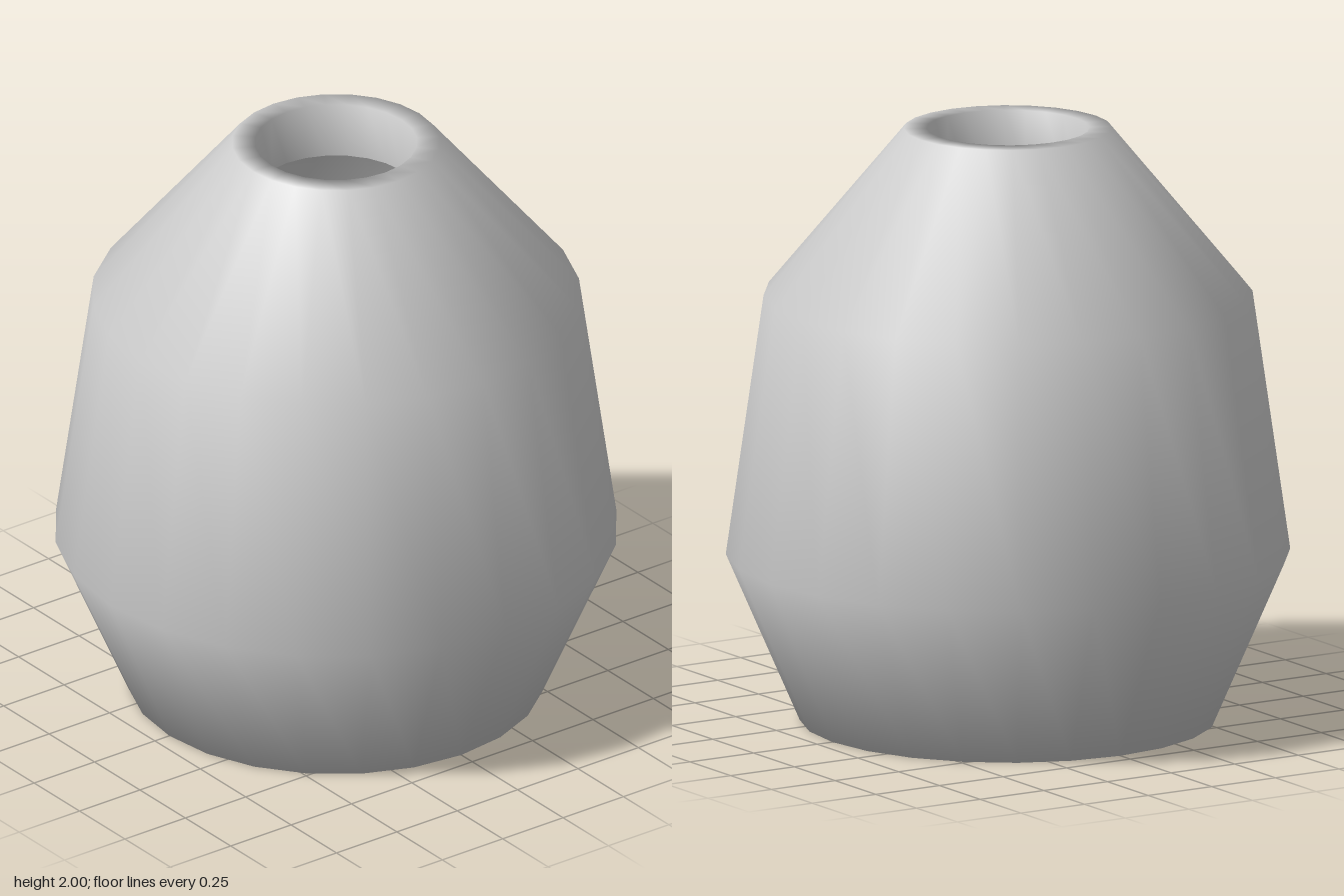
import * as THREE from 'three';

export function createModel() {
  const group = new THREE.Group();
  group.name = 'vase';

  // The neck is open to the hollow body, so both sides show
  const clay = new THREE.MeshStandardMaterial({ color: 0xcccccc, side: THREE.DoubleSide });
  clay.name = 'pale grey';

  // Profile from the centre of the base, up the outside, over the rim and down the neck
  const profile = [
    [0, 0],
    [0.69, 0],
    [0.935, 0.565],
    [0.81, 1.44],
    [0.345, 2],
    [0.27, 2],
    [0.27, 1.81],
  ].map(([r, y]) => new THREE.Vector2(r, y));

  const body = new THREE.Mesh(new THREE.LatheGeometry(profile, 24), clay);
  body.name = 'vaseBody';
  group.add(body);

  return group;
}
